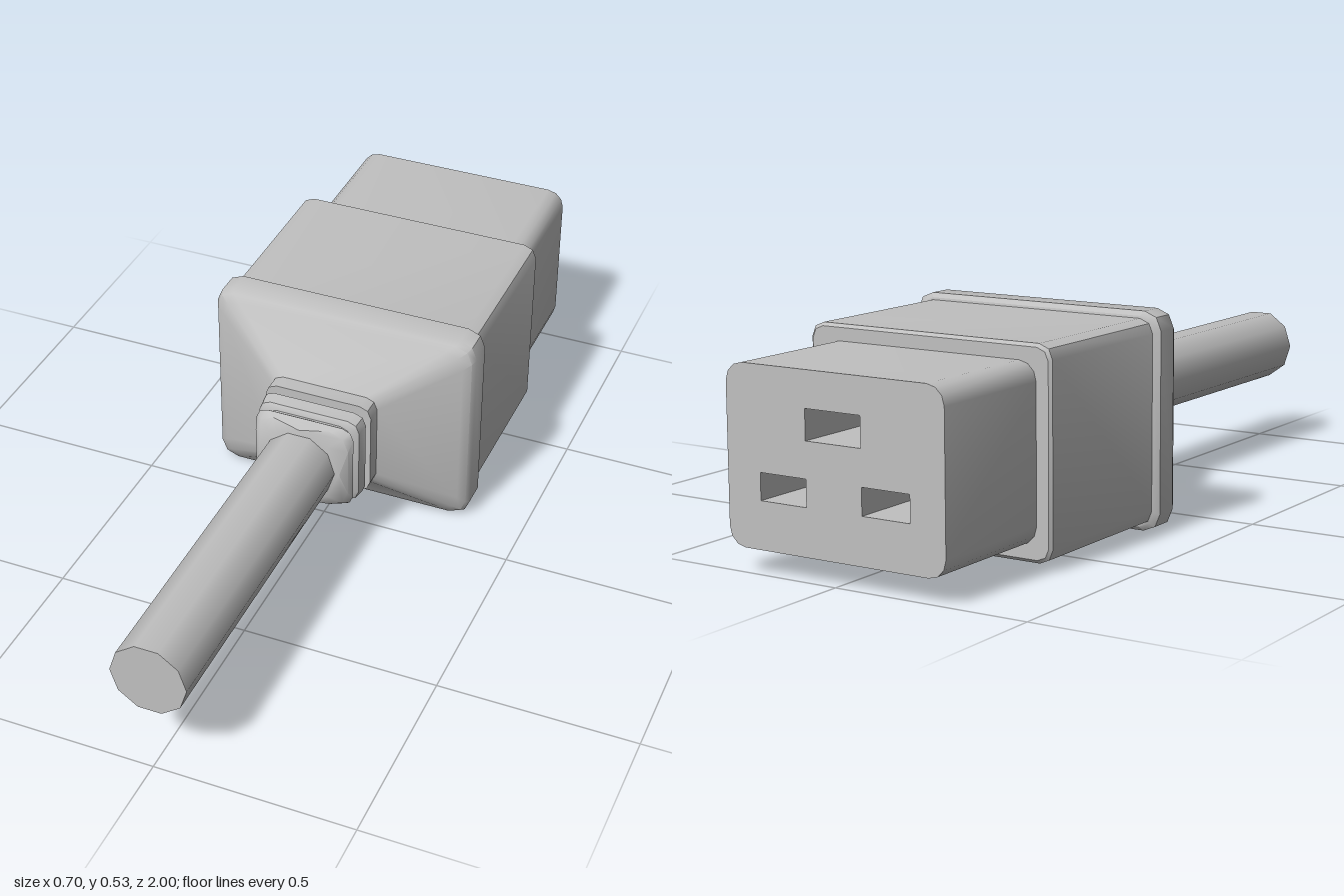
import * as THREE from 'three';
import { toCreasedNormals } from 'three/addons/utils/BufferGeometryUtils.js';

const CY = 0.268; // height of the long axis

// Counter-clockwise rounded rectangle outline, three points per corner
function outline(hw, hh, r, seg = 2) {
  const pts = [];
  [[1, 1], [-1, 1], [-1, -1], [1, -1]].forEach(([sx, sy], c) => {
    for (let i = 0; i <= seg; i++) {
      const a = (c + i / seg) * Math.PI / 2;
      pts.push(new THREE.Vector2(sx * (hw - r) + r * Math.cos(a), sy * (hh - r) + r * Math.sin(a)));
    }
  });
  return pts;
}

// Closed skin through sections [z, halfWidth, halfHeight, cornerRadius], back to front
function loft(sections) {
  const pos = [], idx = [];
  const n = 12, last = sections.length - 1;
  sections.forEach(([z, hw, hh, r]) => outline(hw, hh, r).forEach(p => pos.push(p.x, p.y + CY, z)));
  for (let k = 0; k < last; k++) {
    for (let i = 0; i < n; i++) {
      const a = k * n + i, b = k * n + (i + 1) % n;
      idx.push(a, b, b + n, a, b + n, a + n);
    }
  }
  for (let i = 1; i < n - 1; i++) {
    idx.push(0, i + 1, i);
    idx.push(last * n, last * n + i, last * n + i + 1);
  }
  const g = new THREE.BufferGeometry();
  g.setAttribute('position', new THREE.Float32BufferAttribute(pos, 3));
  g.setIndex(idx);
  return toCreasedNormals(g, 0.7);
}

export function createModel() {
  const group = new THREE.Group();
  const grey = new THREE.MeshStandardMaterial({ color: 0xc0c0c0 });
  grey.name = 'grey plastic';
  const add = (name, geometry) => {
    const mesh = new THREE.Mesh(geometry, grey);
    mesh.name = name;
    group.add(mesh);
    return mesh;
  };

  // Plug nose with three contact slots
  const face = new THREE.Shape(outline(0.296, 0.21, 0.045, 3));
  [[0, 0.088, 0.075, 0.036], [-0.14, -0.065, 0.064, 0.032], [0.14, -0.065, 0.064, 0.032]].forEach(([x, y, w, h]) => {
    face.holes.push(new THREE.Path([
      new THREE.Vector2(x - w, y - h), new THREE.Vector2(x - w, y + h),
      new THREE.Vector2(x + w, y + h), new THREE.Vector2(x + w, y - h),
    ]));
  });
  const nose = new THREE.ExtrudeGeometry(face, { depth: 0.36, bevelEnabled: false });
  nose.translate(0, CY, -1);
  add('plugNose', toCreasedNormals(nose, 0.7));

  // Main housing
  add('housing', loft([
    [-0.65, 0.328, 0.242, 0.03],
    [-0.643, 0.335, 0.25, 0.035],
    [-0.19, 0.335, 0.25, 0.035],
  ]));

  // Flange tapering down to the neck
  add('flangeAndNeck', loft([
    [-0.205, 0.34, 0.256, 0.04],
    [-0.195, 0.352, 0.267, 0.045],
    [-0.135, 0.352, 0.267, 0.045],
    [-0.12, 0.345, 0.26, 0.045],
    [-0.108, 0.325, 0.245, 0.045],
    [-0.002, 0.142, 0.13, 0.03],
    [0.04, 0.142, 0.13, 0.03],
  ]));

  // Strain relief: narrow core, ribbed collar and a collar closing to an octagon
  add('strainReliefCore', loft([[0.03, 0.115, 0.105, 0.03], [0.13, 0.115, 0.105, 0.03]]));
  add('strainReliefRib', loft([
    [0.056, 0.13, 0.118, 0.025],
    [0.063, 0.138, 0.125, 0.03],
    [0.097, 0.134, 0.121, 0.03],
    [0.103, 0.126, 0.113, 0.025],
  ]));
  add('strainReliefEnd', loft([
    [0.117, 0.125, 0.112, 0.03],
    [0.124, 0.13, 0.117, 0.03],
    [0.143, 0.124, 0.113, 0.05],
    [0.16, 0.108, 0.108, 0.107],
  ]));

  // Cable
  const cable = new THREE.CylinderGeometry(0.095, 0.095, 0.85, 10);
  cable.rotateY(Math.PI / 2);
  cable.rotateX(Math.PI / 2);
  cable.translate(0, CY, 0.575);
  add('cable', cable);

  return group;
}
